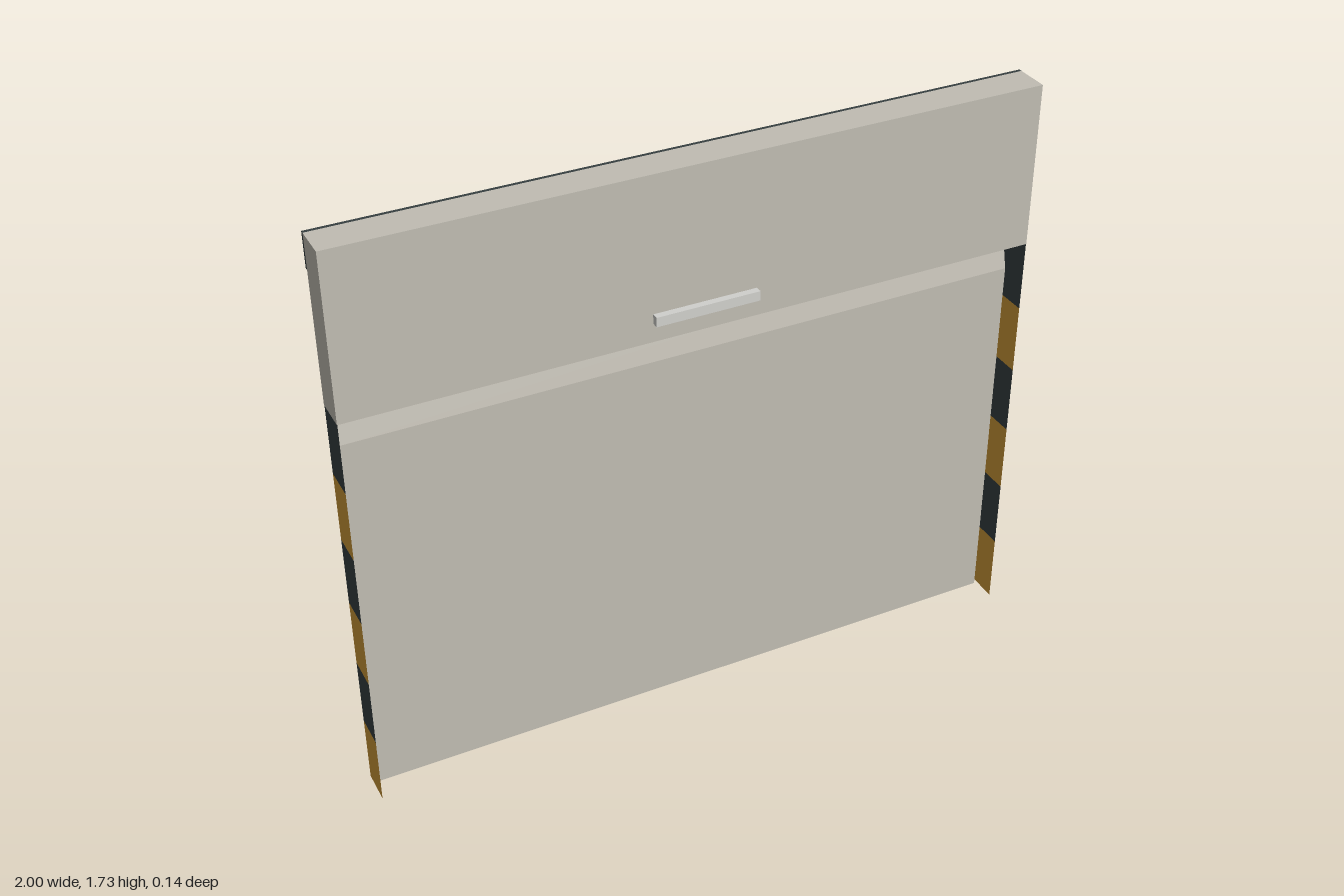
import * as THREE from 'three';

const mat = (name, color, side = THREE.FrontSide) => {
  const m = new THREE.MeshStandardMaterial({ color, side });
  m.name = name;
  return m;
};

export function createModel() {
  const door = new THREE.Group();
  door.name = 'overheadDoor';
  const panelGrey = mat('panelGrey', 0xc0bcb2);
  const darkSteel = mat('darkSteel', 0x363f40, THREE.DoubleSide);
  const hazardAmber = mat('hazardAmber', 0xce9838, THREE.DoubleSide);
  const handleGrey = mat('handleGrey', 0xd0d0cc);

  const add = (name, geometry, material, x, y, z) => {
    const mesh = new THREE.Mesh(geometry, material);
    mesh.name = name;
    mesh.position.set(x, y, z);
    door.add(mesh);
    return mesh;
  };
  // Box given by its lower and upper limits
  const box = (name, material, [x0, x1], [y0, y1], [z0, z1]) =>
    add(name, new THREE.BoxGeometry(x1 - x0, y1 - y0, z1 - z0), material,
      (x0 + x1) / 2, (y0 + y1) / 2, (z0 + z1) / 2);

  // Upper header and the dark rail along its back
  box('header', panelGrey, [-1, 1], [1.25, 1.73], [-0.05, 0.05]);
  box('topRail', darkSteel, [-1, 1], [1.63, 1.73], [-0.06, -0.05]);

  // Recessed lower panel, its front sloping back at the top
  const profile = new THREE.Shape([
    [0.05, 0], [0.05, 1.24], [0.045, 1.24], [0.02, 1.14], [0.02, 0],
  ].map(([a, b]) => new THREE.Vector2(a, b)));
  const panel = new THREE.ExtrudeGeometry(profile, { depth: 1.976, bevelEnabled: false });
  panel.translate(0, 0, -0.988).rotateY(Math.PI / 2); // profile x becomes -z
  add('lowerPanel', panel, panelGrey, 0, 0, 0);

  // Hazard bands on the two thin side plates
  const bands = 6, bandHeight = 1.25 / bands;
  for (const s of [-1, 1]) {
    for (let i = 0; i < bands; i++) {
      const band = add('hazardBand', new THREE.PlaneGeometry(0.1, bandHeight),
        i % 2 ? darkSteel : hazardAmber, s * 0.999, (i + 0.5) * bandHeight, 0);
      band.rotation.y = s * Math.PI / 2;
    }
  }

  // Stiffening grid on the back
  for (const x of [-0.75, -0.25, 0.25, 0.75])
    box('verticalBar', darkSteel, [x - 0.015, x + 0.015], [0.05, 1.19], [-0.07, -0.05]);
  for (const y of [0.42, 0.87])
    box('horizontalBar', darkSteel, [-0.96, 0.96], [y - 0.013, y + 0.013], [-0.065, -0.05]);

  // Handles on both faces
  box('frontHandle', handleGrey, [-0.15, 0.15], [1.305, 1.333], [0.05, 0.07]);
  box('backHandle', handleGrey, [-0.15, 0.15], [1.305, 1.333], [-0.07, -0.05]);

  // Rivets along the back of the header
  for (const x of [0.375, 0.625, 0.875]) {
    for (const s of [-1, 1]) {
      const rivet = add('rivet', new THREE.CylinderGeometry(0.006, 0.006, 0.006, 8), darkSteel, s * x, 1.31, -0.052);
      rivet.rotation.x = Math.PI / 2;
    }
  }
  return door;
}
